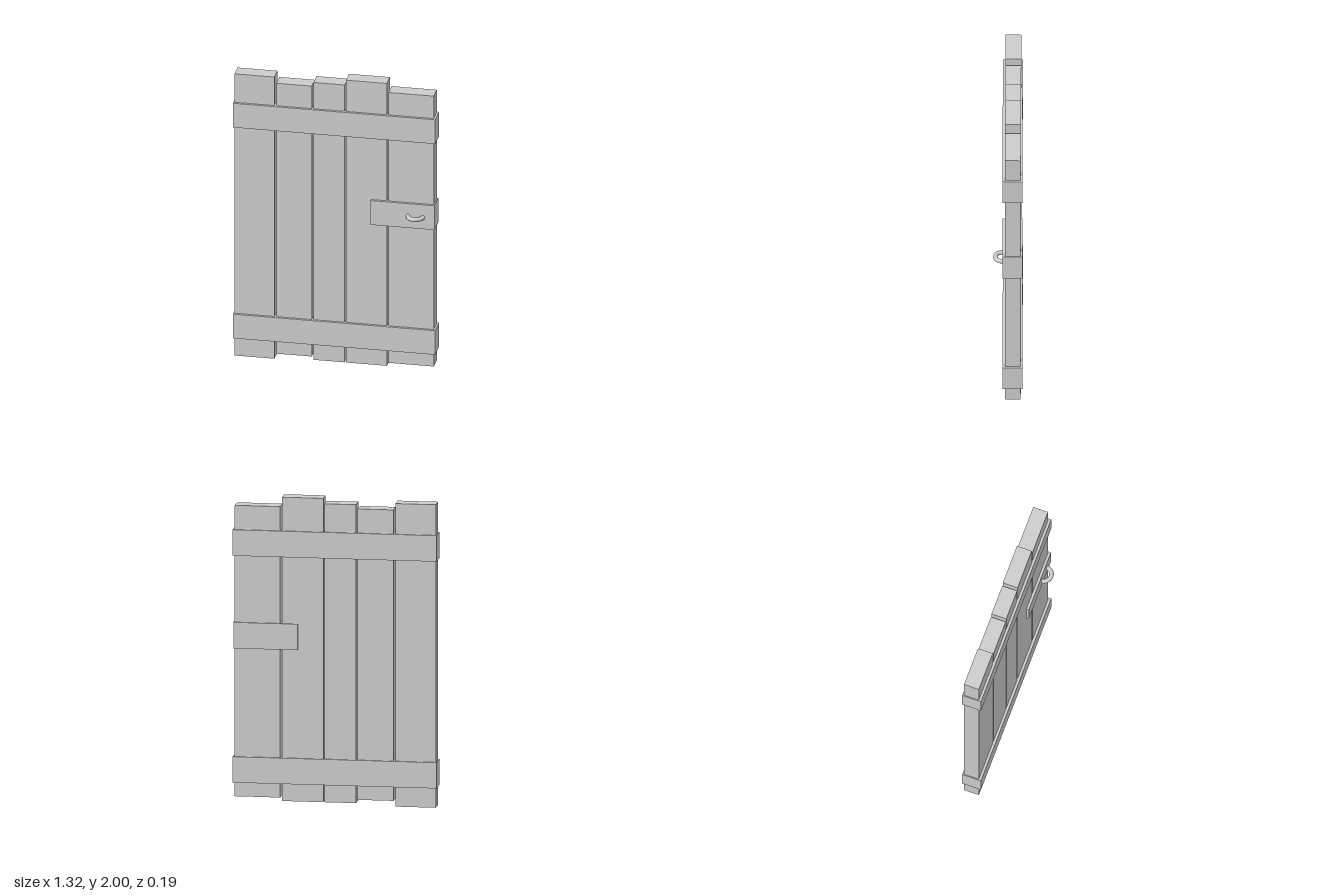
import * as THREE from 'three';

export function createModel() {
  const door = new THREE.Group();
  door.name = 'plankDoor';
  const material = new THREE.MeshStandardMaterial({ color: 0xcccccc });

  // Box given by its limits on each axis
  function addBox(name, [x0, x1], [y0, y1], [z0, z1]) {
    const mesh = new THREE.Mesh(new THREE.BoxGeometry(x1 - x0, y1 - y0, z1 - z0), material);
    mesh.position.set((x0 + x1) / 2, (y0 + y1) / 2, (z0 + z1) / 2);
    mesh.name = name;
    door.add(mesh);
  }

  // Uneven upright planks: x limits, then y limits
  const plankDepth = [-0.084, 0.017];
  [
    [[-0.656, -0.394], [0, 1.98]],
    [[-0.381, -0.149], [0.037, 1.938]],
    [[-0.138, 0.066], [0.015, 1.965]],
    [[0.074, 0.342], [0.015, 2]],
    [[0.354, 0.649], [0.037, 1.938]],
  ].forEach(([x, y], i) => addBox(`plank${i + 1}`, x, y, plankDepth));

  // Cross battens and lock plate wrap around both faces
  const battenDepth = [-0.094, 0.034];
  addBox('lowerBatten', [-0.662, 0.662], [0.128, 0.297], battenDepth);
  addBox('upperBatten', [-0.662, 0.662], [1.61, 1.78], battenDepth);
  addBox('lockPlate', [0.239, 0.657], [1.005, 1.175], battenDepth);

  // Half-ring pull handle, its ends sunk into the lock plate
  const handle = new THREE.Mesh(new THREE.TorusGeometry(0.0485, 0.0145, 16, 32, Math.PI), material);
  handle.rotation.x = Math.PI / 2;
  handle.position.set(0.533, 1.087, 0.031);
  handle.name = 'handle';
  door.add(handle);

  return door;
}
